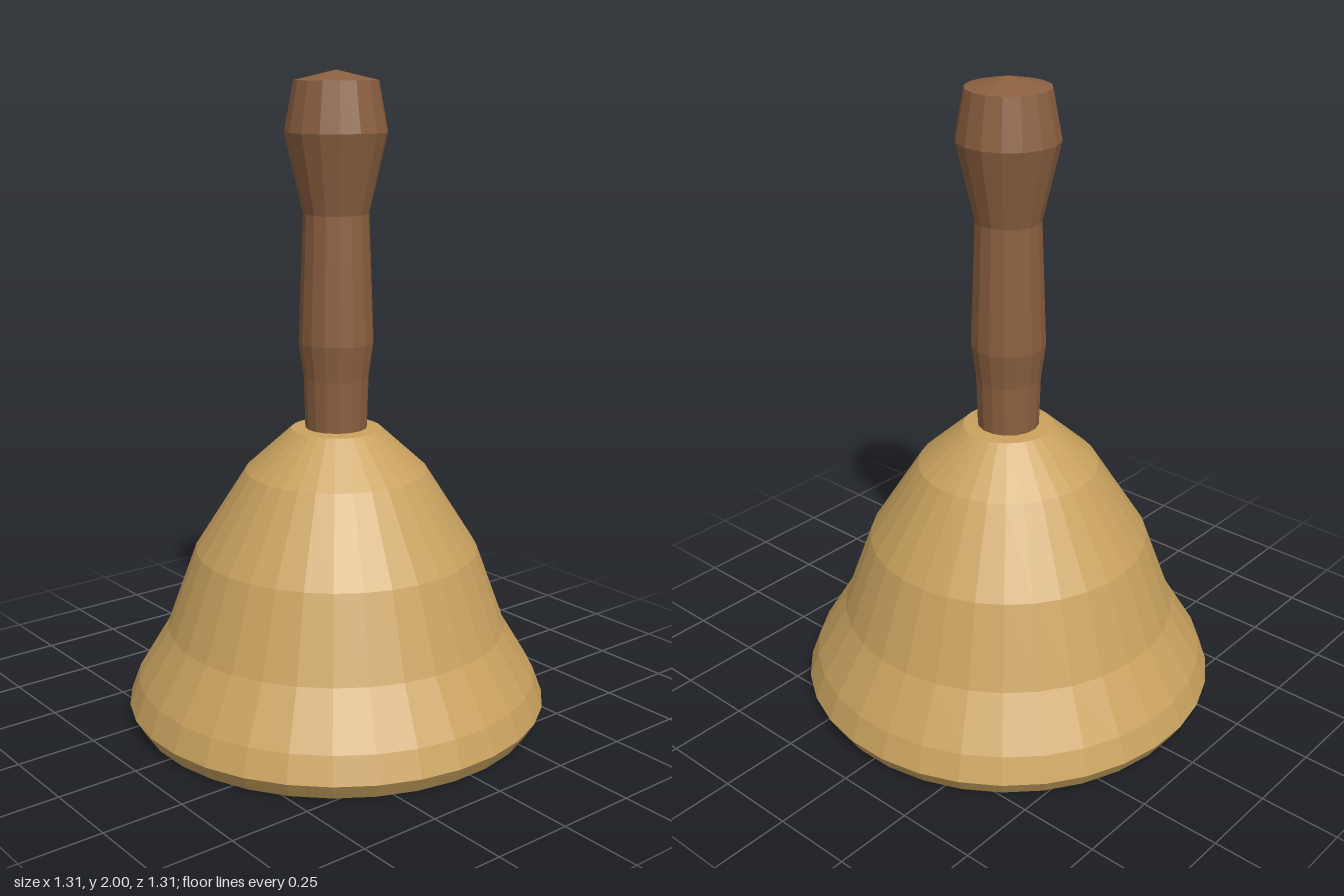
import * as THREE from 'three';

const material = (color) => new THREE.MeshStandardMaterial({ color, flatShading: true });

// Faceted turned part, rotated half a facet so flats face the axes
function turned(name, profile, sides, mat) {
  const points = profile.map(([r, y]) => new THREE.Vector2(r, y));
  const mesh = new THREE.Mesh(new THREE.LatheGeometry(points, sides, Math.PI / sides), mat);
  mesh.name = name;
  return mesh;
}

export function createModel() {
  const model = new THREE.Group();
  model.name = 'handBell';
  const brass = material(0xc9a25f);
  const wood = material(0x8b6040);
  const steel = material(0x747c82);

  // Bell shell: down the inside, around the lip, up the outside
  model.add(turned('bell', [
    [0, 0.86], [0.11, 0.85], [0.23, 0.74], [0.385, 0.51], [0.475, 0.27], [0.555, 0.09], [0.56, 0],
    [0.63, 0], [0.66, 0.05], [0.63, 0.13], [0.533, 0.29], [0.442, 0.54], [0.283, 0.79],
    [0.14, 0.92], [0, 0.93],
  ], 32, brass));

  // Wooden grip with a swelling and a wide end
  model.add(turned('handle', [
    [0, 0.9], [0.095, 0.9], [0.1, 1.08], [0.115, 1.19], [0.1, 1.58],
    [0.155, 1.82], [0.127, 1.97], [0, 2],
  ], 16, wood));

  // Clapper hanging inside the bell
  const clapper = new THREE.Group();
  clapper.name = 'clapper';
  const rod = new THREE.Mesh(new THREE.CylinderGeometry(0.025, 0.025, 0.6, 8), steel);
  rod.name = 'clapperRod';
  rod.position.y = 0.57;
  const ball = new THREE.Mesh(new THREE.SphereGeometry(0.115, 12, 8), steel);
  ball.name = 'clapperBall';
  ball.position.y = 0.225;
  clapper.add(rod, ball);
  model.add(clapper);

  return model;
}
